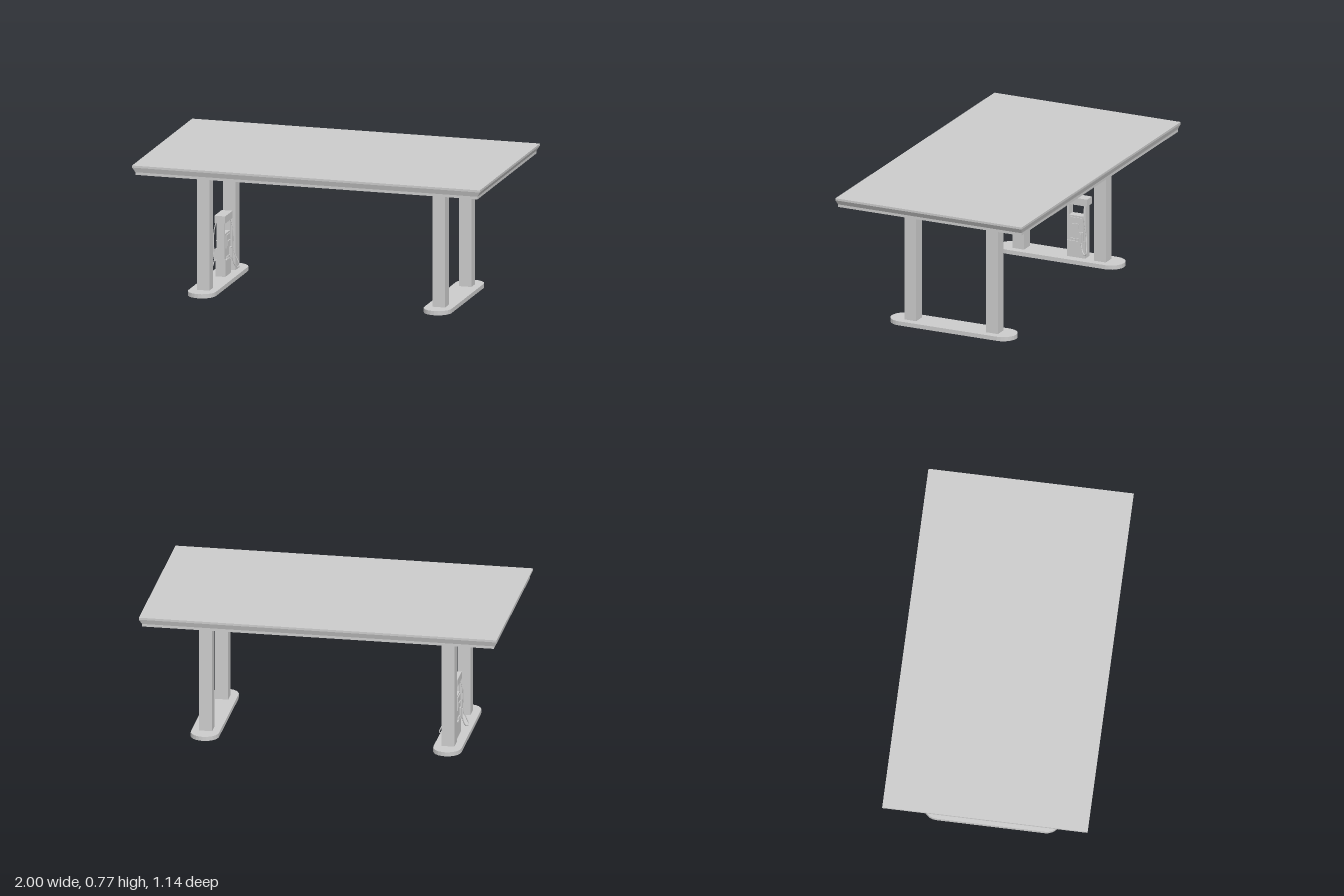
import * as THREE from 'three';

const grey = new THREE.MeshStandardMaterial({ color: 0xcccccc });
grey.name = 'light grey';

function add(parent, name, geometry, x = 0, y = 0, z = 0) {
  const mesh = new THREE.Mesh(geometry, grey);
  mesh.name = name;
  mesh.position.set(x, y, z);
  parent.add(mesh);
  return mesh;
}

// Box given by its centre in x and z and its lower and upper height
function block(parent, name, w, d, y0, y1, x = 0, z = 0) {
  return add(parent, name, new THREE.BoxGeometry(w, y1 - y0, d), x, (y0 + y1) / 2, z);
}

// Four-sided roof slab with a fascia that steps inward toward the bottom
function canopyGeometry() {
  const profile = [[0, 0.72], [0.984, 0.72], [0.984, 0.735], [1, 0.762], [1, 0.774], [0, 0.774]];
  const points = profile.map(([r, y]) => new THREE.Vector2(r * Math.SQRT2, y));
  const geometry = new THREE.LatheGeometry(points, 4).rotateY(Math.PI / 4).scale(1, 1, 0.57).toNonIndexed();
  geometry.computeVertexNormals();
  return geometry;
}

// Long kerb with faceted round ends
function islandGeometry() {
  const r = 0.079, straight = 0.302;
  const shape = new THREE.Shape();
  shape.absarc(0, straight, r, 0, Math.PI, false);
  shape.absarc(0, -straight, r, Math.PI, Math.PI * 2, false);
  shape.closePath();
  return new THREE.ExtrudeGeometry(shape, { depth: 0.024, bevelEnabled: false, curveSegments: 6 })
    .rotateX(-Math.PI / 2);
}

// One service face of the pump, looking along +x
function pumpFace() {
  const face = new THREE.Group();
  face.name = 'pumpFace';
  block(face, 'displayPanel', 0.006, 0.078, 0.18, 0.255, 0.026);
  block(face, 'screen', 0.006, 0.036, 0.192, 0.216, 0.029);
  block(face, 'screenHood', 0.012, 0.042, 0.216, 0.221, 0.029);
  block(face, 'lowerLedge', 0.008, 0.07, 0.114, 0.119, 0.029, 0.01);
  for (let i = 0; i < 3; i++) {
    block(face, 'gradeButton', 0.008, 0.012, 0.122, 0.134, 0.029, 0.026 - i * 0.017);
  }
  // Nozzle in its holder
  block(face, 'nozzleHolder', 0.01, 0.023, 0.108, 0.175, 0.031, -0.034);
  block(face, 'nozzleHandle', 0.01, 0.009, 0.116, 0.168, 0.039, -0.034);
  const spout = block(face, 'nozzleSpout', 0.018, 0.007, 0.16, 0.168, 0.033, -0.034);
  spout.rotation.z = -0.4;
  // Hose hanging from the header and looping up to the nozzle
  const path = new THREE.CatmullRomCurve3([
    [0.026, 0.332, -0.051], [0.038, 0.28, -0.053], [0.039, 0.22, -0.058],
    [0.037, 0.15, -0.068], [0.056, 0.095, -0.078], [0.068, 0.064, -0.079],
    [0.061, 0.055, -0.069], [0.05, 0.071, -0.05], [0.039, 0.12, -0.035],
  ].map((p) => new THREE.Vector3(...p)));
  add(face, 'hose', new THREE.TubeGeometry(path, 40, 0.0032, 8));
  return face;
}

function fuelPump() {
  const pump = new THREE.Group();
  pump.name = 'fuelPump';
  block(pump, 'lowerCabinet', 0.056, 0.112, 0.024, 0.12);
  block(pump, 'upperCabinet', 0.048, 0.09, 0.12, 0.265);
  for (const s of [-1, 1]) block(pump, 'headerPost', 0.045, 0.01, 0.12, 0.329, 0, s * 0.052);
  block(pump, 'header', 0.062, 0.138, 0.329, 0.37);
  for (const turn of [0, Math.PI]) {
    const face = pumpFace();
    face.rotation.y = turn;
    pump.add(face);
  }
  return pump;
}

export function createModel() {
  const model = new THREE.Group();
  model.name = 'fuelStation';
  add(model, 'canopy', canopyGeometry());

  // An island with two columns on each side
  for (const side of [-1, 1]) {
    const x = side * 0.678;
    add(model, 'island', islandGeometry(), x);
    for (const z of [-0.25, 0.25]) block(model, 'column', 0.072, 0.072, 0.024, 0.72, x, z);
  }

  const pump = fuelPump();
  pump.position.set(-0.678, 0, -0.1);
  model.add(pump);
  return model;
}
